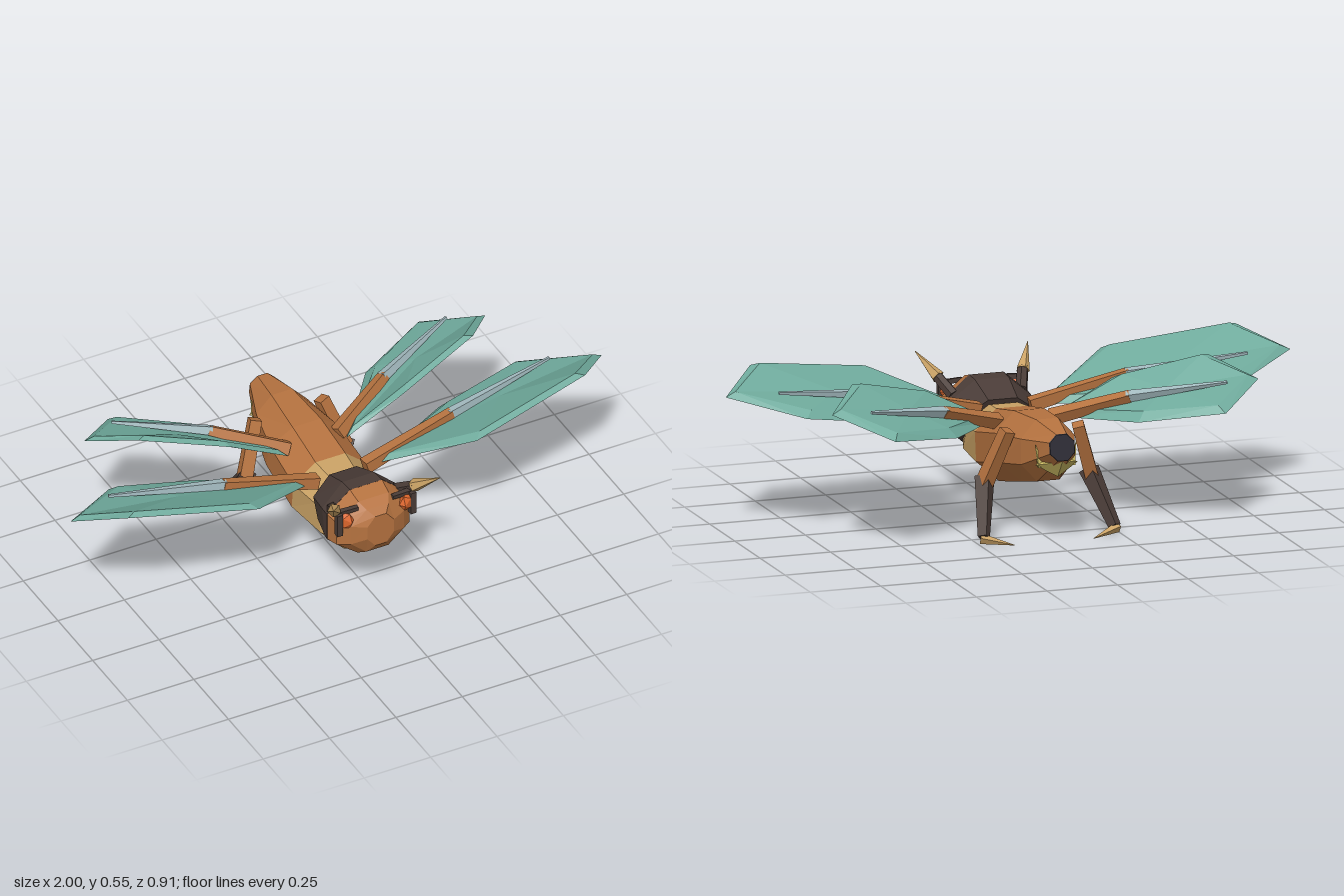
import * as THREE from 'three';

const mat = (name, color) => {
  const m = new THREE.MeshStandardMaterial({ color, flatShading: true });
  m.name = name;
  return m;
};

// Skin between rings of points (counter-clockwise seen from the first ring), closed at both ends
function loft(rings) {
  const pos = [];
  const tri = (...ps) => ps.forEach((p) => pos.push(p.x, p.y, p.z));
  const mid = (r) => r.reduce((s, p) => s.add(p), new THREE.Vector3()).divideScalar(r.length);
  const n = rings[0].length;
  const first = rings[0], last = rings[rings.length - 1];
  for (let i = 0; i < n; i++) {
    const j = (i + 1) % n;
    for (let k = 0; k < rings.length - 1; k++) {
      const a = rings[k], b = rings[k + 1];
      tri(a[i], b[i], b[j]);
      tri(a[i], b[j], a[j]);
    }
    tri(mid(first), first[i], first[j]);
    tri(mid(last), last[j], last[i]);
  }
  const g = new THREE.BufferGeometry();
  g.setAttribute('position', new THREE.Float32BufferAttribute(pos, 3));
  g.computeVertexNormals();
  return g;
}

// Tilted octagon: top (z, y), bottom (z, y), half width
function octagon([zt, yt, zb, yb, hw]) {
  const k = 1 / Math.cos(Math.PI / 8);
  return Array.from({ length: 8 }, (_, i) => {
    const a = ((i + 0.5) * Math.PI) / 4;
    const t = (1 + Math.sin(a) * k) / 2;
    return new THREE.Vector3(Math.cos(a) * k * hw, yb + (yt - yb) * t, zb + (zt - zb) * t);
  });
}

// Tapered bar between two points
function bar(a, b, r0, r1, sides = 4) {
  const p = new THREE.Vector3(...a), q = new THREE.Vector3(...b);
  const d = q.clone().sub(p);
  const g = new THREE.CylinderGeometry(r1, r0, d.length(), sides);
  g.rotateY(Math.PI / sides);
  g.applyQuaternion(new THREE.Quaternion().setFromUnitVectors(new THREE.Vector3(0, 1, 0), d.normalize()));
  const m = p.add(q).multiplyScalar(0.5);
  return g.translate(m.x, m.y, m.z);
}

// Wing slab whose upper face is inset, giving a sloping rim
function wing(points) {
  const low = points.map((p) => new THREE.Vector3(...p));
  const c = low.reduce((s, p) => s.add(p), new THREE.Vector3()).divideScalar(low.length);
  const high = low.map((p) => {
    const q = p.clone().add(c.clone().sub(p).setLength(0.035));
    q.y += 0.02;
    return q;
  });
  return loft([low, high]);
}

// Reflected copy with corner order restored
function mirrored(geo) {
  const g = geo.index ? geo.toNonIndexed() : geo.clone();
  g.scale(-1, 1, 1);
  const p = g.attributes.position;
  for (let i = 0; i < p.count; i += 3) {
    const b = [p.getX(i + 1), p.getY(i + 1), p.getZ(i + 1)];
    p.setXYZ(i + 1, p.getX(i + 2), p.getY(i + 2), p.getZ(i + 2));
    p.setXYZ(i + 2, ...b);
  }
  g.computeVertexNormals();
  return g;
}

export function createModel() {
  const model = new THREE.Group();
  model.name = 'insect';
  const brown = mat('copper brown', 0xb67340);
  const tan = mat('tan', 0xcaa265);
  const dark = mat('dark brown', 0x4a3c37);
  const teal = mat('wing teal', 0x6faa9c);
  const grey = mat('vein grey', 0xa3babf);
  const orange = mat('eye orange', 0xdc662c);
  const straw = mat('straw yellow', 0xc9b862);
  const black = mat('tail black', 0x2b2a33);

  const add = (name, geo, material) => {
    const m = new THREE.Mesh(geo, material);
    m.name = name;
    model.add(m);
  };
  const pair = (name, geo, material) => {
    add(name + 'Left', geo, material);
    add(name + 'Right', mirrored(geo), material);
  };
  const body = (name, rings, material) => add(name, loft(rings.map(octagon)), material);

  // Head, collar, thorax, abdomen
  body('head', [
    [0.413, 0.37, 0.413, 0.25, 0.05],
    [0.39, 0.39, 0.388, 0.215, 0.1],
    [0.36, 0.41, 0.355, 0.195, 0.138],
    [0.305, 0.425, 0.305, 0.176, 0.146],
  ], brown);
  body('collar', [
    [0.306, 0.425, 0.306, 0.176, 0.147],
    [0.25, 0.42, 0.3, 0.178, 0.144],
    [0.14, 0.375, 0.22, 0.2, 0.124],
  ], dark);
  const waist = [0.05, 0.368, 0.02, 0.125, 0.135];
  const tail = [-0.44, 0.39, -0.455, 0.3, 0.045];
  body('thorax', [
    [0.22, 0.34, 0.315, 0.18, 0.09],
    [0.13, 0.362, 0.24, 0.132, 0.118],
    waist,
  ], tan);
  body('abdomen', [
    waist,
    [-0.12, 0.4, -0.19, 0.172, 0.128],
    [-0.3, 0.41, -0.31, 0.2, 0.095],
    tail,
  ], brown);
  body('tailCap', [tail, [-0.443, 0.388, -0.458, 0.302, 0.043]], black);

  // Sting pouch under the tail, with side spikes
  const pouch = new THREE.OctahedronGeometry(1, 0);
  pouch.scale(0.075, 0.045, 0.062).rotateX(0.3).translate(0, 0.278, -0.392);
  add('stingPouch', pouch, straw);
  pair('stingSpike', bar([0.055, 0.27, -0.39], [0.072, 0.345, -0.385], 0.013, 0.001), straw);

  // Eyes with dark surrounds
  const eye = new THREE.IcosahedronGeometry(1, 0);
  eye.scale(0.034, 0.034, 0.022).rotateY(0.7).translate(0.115, 0.36, 0.372);
  pair('eye', eye, orange);
  pair('eyeGuard', bar([0.138, 0.31, 0.375], [0.138, 0.395, 0.375], 0.015, 0.015), dark);
  pair('brow', bar([0.14, 0.39, 0.362], [0.065, 0.395, 0.37], 0.013, 0.01), dark);

  // Horn-like antennae
  pair('antennaStem', bar([0.12, 0.36, 0.295], [0.153, 0.415, 0.372], 0.022, 0.019, 6), dark);
  pair('antennaTip', bar([0.15, 0.41, 0.365], [0.2, 0.483, 0.455], 0.024, 0.001, 5), tan);

  // Legs
  pair('upperLeg', bar([0.125, 0.37, -0.255], [0.19, 0.18, -0.205], 0.028, 0.032), brown);
  pair('lowerLeg', bar([0.185, 0.198, -0.195], [0.232, 0.026, -0.32], 0.036, 0.022), dark);
  pair('foot', bar([0.242, 0.022, -0.32], [0.14, 0.003, -0.37], 0.018, 0.001), tan);

  // Wings: outline runs from the root along the rear edge and back along the front edge
  pair('frontWing', wing([
    [0.12, 0.35, 0.125], [0.45, 0.37, -0.03], [0.77, 0.42, -0.075],
    [1.0, 0.475, 0.09], [0.86, 0.54, 0.24], [0.41, 0.475, 0.32],
  ]), teal);
  pair('rearWing', wing([
    [0.11, 0.35, -0.045], [0.32, 0.372, -0.31], [0.585, 0.41, -0.435],
    [0.755, 0.48, -0.28], [0.63, 0.54, -0.128], [0.325, 0.465, -0.04],
  ]), teal);

  // Wing spars and veins
  pair('frontSpar', bar([0.09, 0.352, 0.125], [0.43, 0.438, 0.1], 0.03, 0.022), brown);
  pair('frontVein', bar([0.42, 0.437, 0.1], [0.83, 0.488, 0.037], 0.021, 0.006), grey);
  pair('rearSpar', bar([0.09, 0.355, -0.075], [0.33, 0.435, -0.195], 0.03, 0.022), brown);
  pair('rearVein', bar([0.32, 0.434, -0.19], [0.63, 0.488, -0.322], 0.021, 0.006), grey);

  return model;
}
